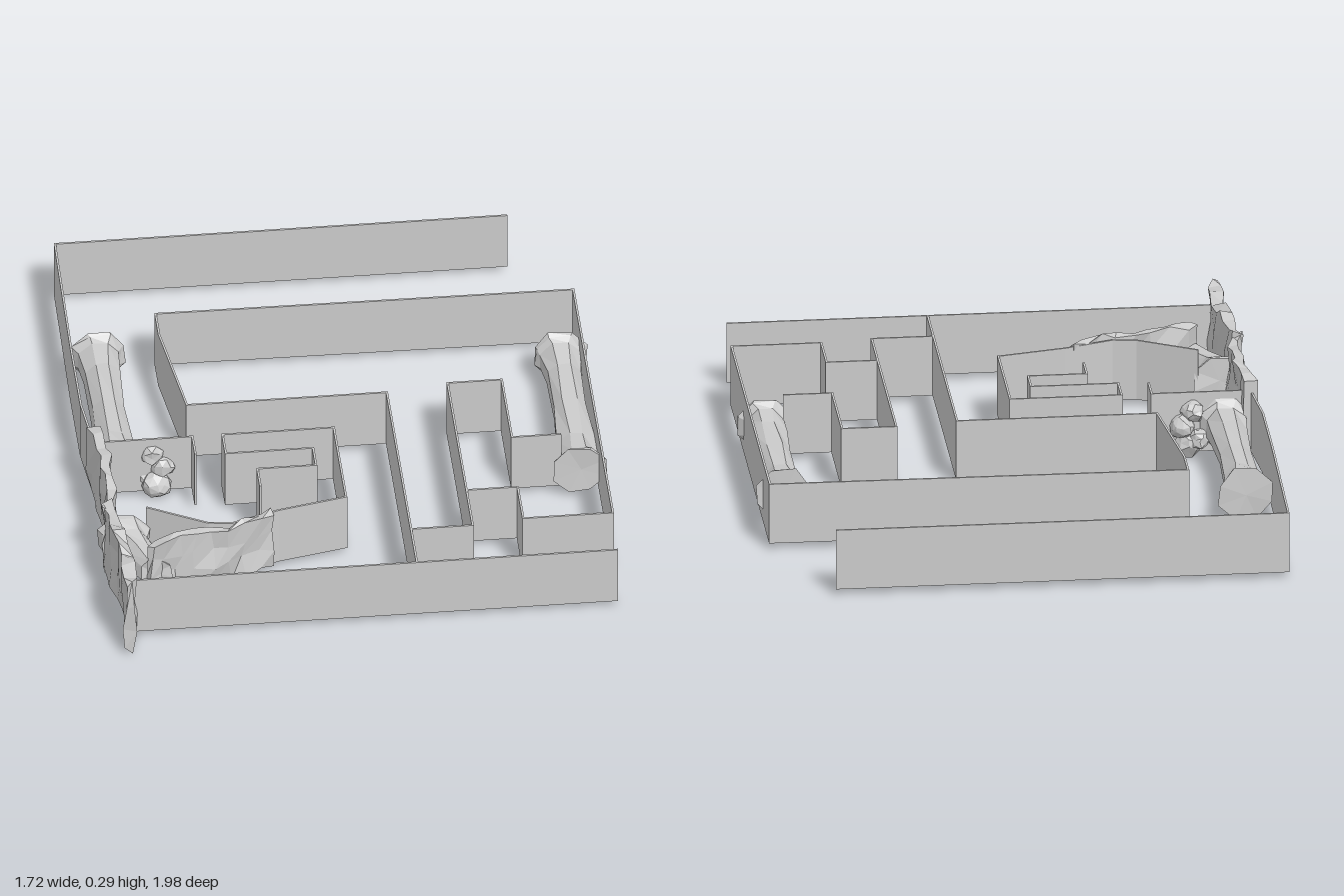
import * as THREE from 'three';

const BASE = 0.03, TOP = 0.24, THICK = 0.007;
const material = new THREE.MeshStandardMaterial({ color: 0xcccccc, flatShading: true, side: THREE.DoubleSide });

// small repeatable noise in -1..1, keyed on position so shared corners stay joined
function noise(x, y, z, seed) {
  const s = Math.sin(x * 127.1 + y * 311.7 + z * 74.7 + seed * 53.3) * 43758.5453;
  return (s - Math.floor(s)) * 2 - 1;
}

function jitter(geometry, amount, seed) {
  const p = geometry.attributes.position;
  for (let i = 0; i < p.count; i++) {
    const [x, y, z] = [p.getX(i), p.getY(i), p.getZ(i)].map(v => Math.round(v * 1000) / 1000 + 0);
    p.setXYZ(i, x + amount[0] * noise(x, y, z, seed),
      y + amount[1] * noise(x, y, z, seed + 1), z + amount[2] * noise(x, y, z, seed + 2));
  }
  geometry.computeVertexNormals();
  return geometry;
}

function addMesh(parent, name, geometry) {
  const mesh = new THREE.Mesh(geometry, material);
  mesh.name = name;
  parent.add(mesh);
  return mesh;
}

// run of thin upright panels through [x, z] points
function addWall(parent, name, points) {
  const group = new THREE.Group();
  group.name = name;
  for (let i = 0; i + 1 < points.length; i++) {
    const [x0, z0] = points[i], [x1, z1] = points[i + 1];
    const length = Math.hypot(x1 - x0, z1 - z0);
    const panel = addMesh(group, 'wallPanel', new THREE.BoxGeometry(length + THICK, TOP - BASE, THICK));
    panel.position.set((x0 + x1) / 2, (BASE + TOP) / 2, (z0 + z1) / 2);
    panel.rotation.y = -Math.atan2(z1 - z0, x1 - x0);
  }
  parent.add(group);
}

// ragged broken slab bent along [x, z] points
function addRubble(parent, name, points, low, high, thick, seed) {
  const curve = new THREE.CatmullRomCurve3(points.map(([x, z]) => new THREE.Vector3(x, 0, z)));
  const geometry = jitter(new THREE.BoxGeometry(1, high - low, thick, 8, 3, 1), [0.03, 0.015, 0.012], seed);
  const p = geometry.attributes.position;
  for (let i = 0; i < p.count; i++) {
    const t = THREE.MathUtils.clamp(p.getX(i) + 0.5, 0, 1);
    const c = curve.getPointAt(t), d = curve.getTangentAt(t);
    p.setXYZ(i, c.x - d.z * p.getZ(i), (low + high) / 2 + p.getY(i), c.z + d.x * p.getZ(i));
  }
  geometry.computeVertexNormals();
  addMesh(parent, name, geometry);
}

// lying column: slim faceted shaft with flared ends, axis turned to z
function addColumn(parent, name, x, y, z0, z1, seed) {
  const half = (z1 - z0) / 2;
  const profile = [[0, -1], [0.094, -1], [0.09, -0.97], [0.072, -0.9], [0.064, -0.6], [0.06, 0],
    [0.064, 0.6], [0.072, 0.9], [0.09, 0.97], [0.094, 1], [0, 1]]
    .map(([r, t]) => new THREE.Vector2(r, t * half));
  const geometry = jitter(new THREE.LatheGeometry(profile, 8, Math.PI / 8), [0.006, 0.004, 0.006], seed);
  const column = addMesh(parent, name, geometry);
  column.rotation.x = Math.PI / 2;
  column.position.set(x, y, (z0 + z1) / 2);
}

export function createModel() {
  const model = new THREE.Group();
  model.name = 'ruinedMaze';

  // maze walls
  addWall(model, 'outerBackWall', [[0.66, -0.996], [-0.84, -0.996], [-0.848, -0.4], [-0.848, -0.1], [-0.828, 0.11]]);
  addWall(model, 'outerFrontWall', [[-0.79, 0.88], [0.83, 0.88]]);
  addWall(model, 'innerRingWall', [[0.165, 0.88], [0.165, -0.065], [-0.5, -0.065], [-0.55, -0.46], [-0.55, -0.577],
    [0.838, -0.565], [0.838, 0.675], [0.54, 0.675], [0.54, 0.5], [0.37, 0.5]]);
  addWall(model, 'rightPassageWall', [[0.165, 0.695], [0.37, 0.695], [0.37, -0.095], [0.55, -0.095], [0.55, 0.225], [0.71, 0.225]]);
  addWall(model, 'leftStubWall', [[-0.82, 0.11], [-0.5, 0.11], [-0.5, 0.205]]);
  addWall(model, 'spiralWall', [[-0.305, 0.405], [-0.305, 0.31], [-0.11, 0.31], [-0.11, 0.215], [-0.4, 0.215], [-0.4, 0.11],
    [-0.03, 0.11], [-0.03, 0.495], [-0.26, 0.545], [-0.42, 0.6], [-0.5, 0.59], [-0.69, 0.485]]);

  // fallen columns
  addColumn(model, 'leftColumn', -0.745, 0.125, -0.525, 0.11, 1);
  addColumn(model, 'rightColumn', 0.772, 0.122, -0.37, 0.27, 5);

  // broken column end with a snapped, slanting shaft
  const stump = [[0, 0], [0.092, 0], [0.084, 0.02], [0.068, 0.05], [0.062, 0.13], [0.055, 0.21], [0, 0.2]]
    .map(([r, h]) => new THREE.Vector2(r, h));
  const stumpGeometry = jitter(new THREE.LatheGeometry(stump, 8, Math.PI / 8), [0.006, 0.008, 0.006], 9);
  const sp = stumpGeometry.attributes.position;
  for (let i = 0; i < sp.count; i++) sp.setX(i, sp.getX(i) + 0.45 * Math.max(0, sp.getY(i) - 0.03));
  stumpGeometry.computeVertexNormals();
  const broken = addMesh(model, 'brokenColumn', stumpGeometry);
  broken.rotation.x = Math.PI / 2;
  broken.position.set(-0.765, 0.125, 0.48);

  // crumbled wall slabs
  addRubble(model, 'crumbledWallBack', [[-0.825, 0.08], [-0.81, 0.25], [-0.8, 0.4], [-0.82, 0.53]], 0.025, 0.28, 0.035, 11);
  addRubble(model, 'crumbledWallFront', [[-0.82, 0.5], [-0.8, 0.65], [-0.785, 0.8], [-0.8, 0.98]], 0.025, 0.285, 0.035, 17);
  addRubble(model, 'crumbledInnerWall', [[-0.71, 0.71], [-0.6, 0.655], [-0.45, 0.635], [-0.28, 0.56]], 0.035, 0.25, 0.025, 23);

  // pile of loose stones
  const stones = [[-0.62, 0.06, 0.115, 0.05], [-0.6, 0.125, 0.1, 0.043], [-0.635, 0.175, 0.1, 0.038], [-0.655, 0.08, 0.085, 0.035]];
  stones.forEach(([x, y, z, r], i) => {
    const stone = addMesh(model, 'looseStone', jitter(new THREE.IcosahedronGeometry(r, 1), [0.006, 0.006, 0.006], 30 + i));
    stone.position.set(x, y, z);
  });

  return model;
}
